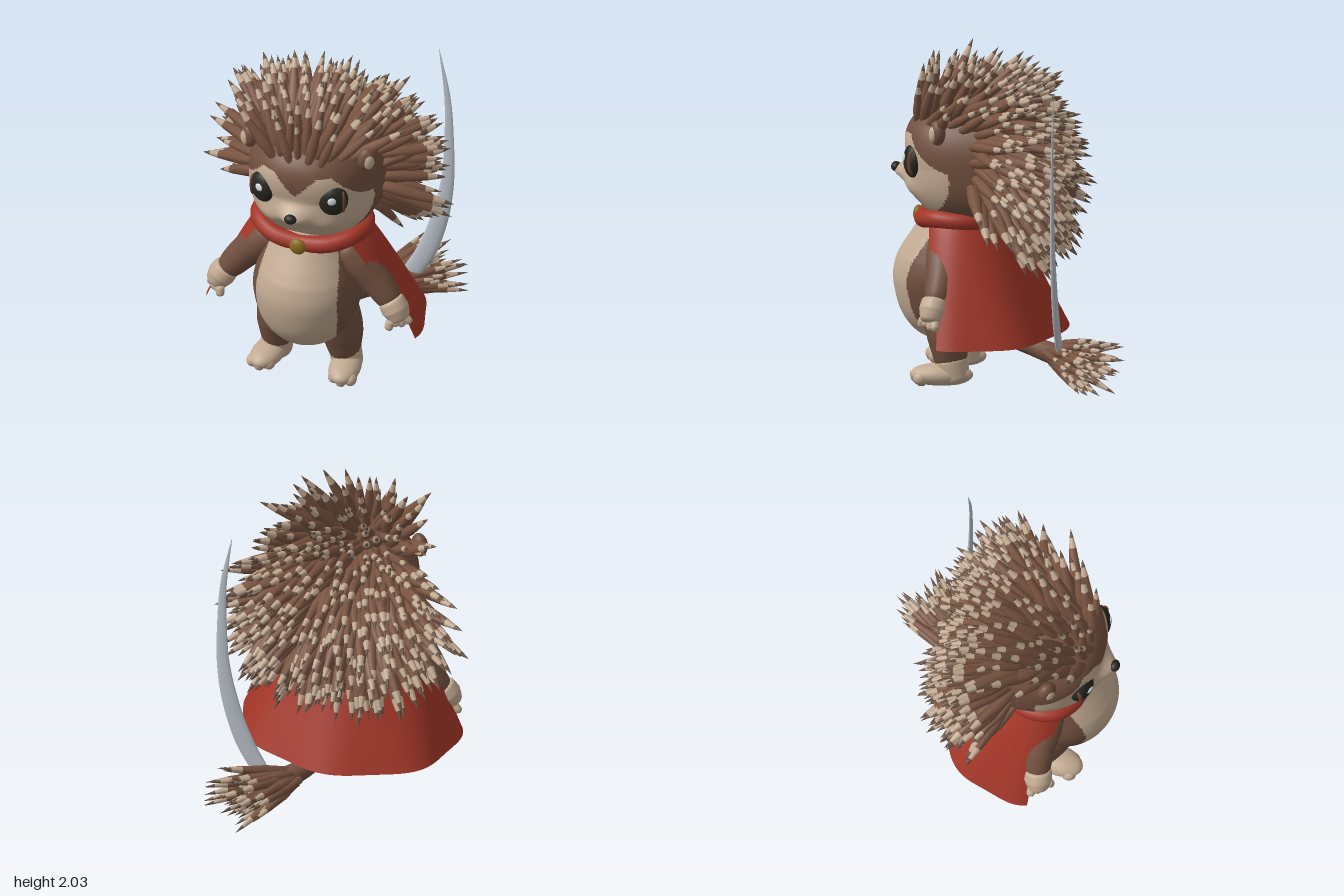
import * as THREE from 'three';
import { mergeGeometries, mergeVertices } from 'three/addons/utils/BufferGeometryUtils.js';

const V = (x, y, z) => new THREE.Vector3(x, y, z);
const mat = (name, color, side = THREE.FrontSide) => {
  const m = new THREE.MeshStandardMaterial({ color, side });
  m.name = name;
  return m;
};

// seeded random numbers
let seed = 7;
const rand = () => (seed = (seed * 16807) % 2147483647) / 2147483647;

// weld seams and recompute smooth normals
function smooth(geo) {
  geo.deleteAttribute('uv');
  geo.deleteAttribute('normal');
  const g = mergeVertices(geo, 1e-5);
  g.computeVertexNormals();
  return g;
}

// move every vertex by a rule
function warp(geo, rule) {
  const p = geo.attributes.position, v = V();
  for (let i = 0; i < p.count; i++) {
    rule(v.fromBufferAttribute(p, i));
    p.setXYZ(i, v.x, v.y, v.z);
  }
  return smooth(geo);
}

// sort triangles into two colour groups by their centre
function twoTone(geo, test) {
  const p = geo.attributes.position, idx = geo.index.array, parts = [[], []], c = V(), q = V();
  for (let i = 0; i < idx.length; i += 3) {
    c.set(0, 0, 0);
    for (let k = 0; k < 3; k++) c.add(q.fromBufferAttribute(p, idx[i + k]));
    parts[test(c.divideScalar(3)) ? 1 : 0].push(idx[i], idx[i + 1], idx[i + 2]);
  }
  geo.setIndex(parts[0].concat(parts[1]));
  geo.addGroup(0, parts[0].length, 0);
  geo.addGroup(parts[0].length, parts[1].length, 1);
  return geo;
}

// tube with varying radius and rounded ends
function limb(pts, radii, seg = 28, sides = 18, round = 10) {
  const curve = new THREE.CatmullRomCurve3(pts);
  const geo = new THREE.TubeGeometry(curve, seg, 1, sides);
  const p = geo.attributes.position, v = V();
  for (let i = 0; i < p.count; i++) {
    const t = Math.floor(i / (sides + 1)) / seg, c = curve.getPointAt(t);
    const f = t * (radii.length - 1), k = Math.min(Math.floor(f), radii.length - 2);
    const r = THREE.MathUtils.lerp(radii[k], radii[k + 1], f - k);
    const cap = Math.sqrt(Math.max(0, 1 - Math.abs(2 * t - 1) ** round));
    v.fromBufferAttribute(p, i).sub(c).multiplyScalar(r * cap).add(c);
    p.setXYZ(i, v.x, v.y, v.z);
  }
  return smooth(geo);
}

// boxy egg shared by the head and the quill roots, leaning forward at the top
function headPoint(u) {
  const n = 2.4, k = (Math.abs(u.x) ** n + Math.abs(u.y) ** n + Math.abs(u.z) ** n) ** (-1 / n);
  const up = (u.y > 0 ? 0.38 : 0.4) * u.y * k;
  const lean = u.z > 0 ? 0.3 * Math.max(0, up) * u.z : -0.36 * up * u.z;
  return V(0.41 * u.x * k, 1.34 + up, 0.15 + (u.z > 0 ? 0.47 : 0.28) * u.z * k + lean);
}

export function createModel() {
  const root = new THREE.Group(), body = new THREE.Group();
  root.name = 'hedgehog';
  body.name = 'figure';
  body.position.x = 0.035;
  root.add(body);

  const brown = mat('brown fur', 0x71503f), quillBrown = mat('quill brown', 0x7a5441);
  const tipBrown = mat('quill tip', 0x6b5444), cream = mat('cream fur', 0xc2aa92);
  const red = mat('red cloth', 0xa33628, THREE.DoubleSide), black = mat('dark eye', 0x25261f);
  const white = mat('eye highlight', 0xdfe3e6), gold = mat('gold clasp', 0x8a6a20);
  const steel = mat('steel', 0xb9c0c8), amber = mat('iris brown', 0x6a4030);

  const add = (name, geo, material, parent = body) => {
    const m = new THREE.Mesh(geo, material);
    m.name = name;
    parent.add(m);
    return m;
  };
  const ball = (name, material, pos, scale, parent = body) => {
    const m = add(name, new THREE.SphereGeometry(1, 24, 16), material, parent);
    m.position.set(...pos);
    m.scale.set(...scale);
    return m;
  };

  // head with muzzle, cheeks and cream mask
  const head = warp(new THREE.SphereGeometry(1, 160, 110), v => {
    v.copy(headPoint(v.clone().normalize()));
    if (v.z < 0.3) return;
    const ax = Math.abs(v.x);
    v.z += 0.1 * Math.exp(-((v.x / 0.1) ** 2) - ((v.y - 1.25) / 0.06) ** 2);
    v.z += 0.03 * Math.exp(-(((ax - 0.17) / 0.1) ** 2) - ((v.y - 1.19) / 0.06) ** 2);
  });
  add('head', twoTone(head, c => {
    const ax = Math.abs(c.x);
    return c.z > 0.31 + 2.2 * (c.y - 1.28) ** 2 && c.y < Math.min(1.39 + ax * 1.05, 1.53, 1.53 - (ax - 0.22) * 1.1);
  }), [brown, cream]);
  ball('nose', black, [0, 1.27, 0.705], [0.038, 0.03, 0.03]);

  for (const s of [-1, 1]) {
    // eye with iris sliver and highlight
    const eye = new THREE.Group();
    eye.name = 'eye';
    eye.position.set(s * 0.222, 1.37, 0.56);
    eye.rotation.y = s * 0.4;
    body.add(eye);
    ball('eyeball', black, [0, 0, 0], [0.09, 0.104, 0.058], eye);
    ball('iris', amber, [s * 0.06, 0, 0.024], [0.014, 0.075, 0.028], eye);
    ball('highlight', white, [s * -0.012, 0.022, 0.054], [0.026, 0.026, 0.008], eye);

    // ear
    const ear = new THREE.Group();
    ear.name = 'ear';
    ear.position.set(s * 0.375, 1.59, 0.385);
    ear.rotation.y = s * 0.7;
    body.add(ear);
    ball('earShell', brown, [0, 0, 0], [0.06, 0.077, 0.045], ear);
    ball('earInner', cream, [0, -0.005, 0.03], [0.034, 0.05, 0.022], ear);

    // arm, hand and fingers
    add('arm', limb([V(s * 0.2, 0.93, 0.36), V(s * 0.31, 0.82, 0.36), V(s * 0.42, 0.7, 0.35), V(s * 0.54, 0.55, 0.37)],
      [0.1, 0.105, 0.095, 0.075]), brown);
    add('hand', limb([V(s * 0.51, 0.6, 0.37), V(s * 0.555, 0.53, 0.38), V(s * 0.59, 0.465, 0.39)], [0.08, 0.085, 0.06]), cream);
    for (let i = 0; i < 4; i++) {
      add('finger', limb([V(s * (0.58 - i * 0.012), 0.49, 0.36 + i * 0.025),
        V(s * (0.645 - i * 0.038), 0.435 - (i % 2) * 0.012, 0.35 + i * 0.036)], [0.032, 0.024], 10, 10, 4), cream);
    }

    // leg, ankle, foot, toes and pads
    add('leg', limb([V(s * 0.16, 0.48, 0.38), V(s * 0.2, 0.3, 0.35), V(s * 0.215, 0.08, 0.33)], [0.15, 0.13, 0.085]), brown);
    add('ankle', limb([V(s * 0.213, 0.16, 0.335), V(s * 0.22, 0.09, 0.32), V(s * 0.226, 0.012, 0.295)],
      [0.1, 0.097, 0.09], 24, 24, 12), cream);
    const foot = add('foot', warp(new THREE.SphereGeometry(1, 28, 18), v => {
      v.set(v.x * (0.095 + 0.012 * v.z), Math.max(0.005, 0.06 + v.y * 0.07), v.z * 0.19);
    }), cream);
    foot.position.set(s * 0.24, 0, 0.385);
    foot.rotation.y = s * 0.12;
    for (let i = -1; i <= 1; i++) {
      ball('toe', cream, [s * 0.258 + i * 0.053, 0.045, 0.525 - Math.abs(i) * 0.025], [0.036, 0.04, 0.045]);
      ball('toePad', brown, [s * 0.258 + i * 0.05, 0.007, 0.52 - Math.abs(i) * 0.025], [0.02, 0.006, 0.022]);
    }
    ball('solePad', brown, [s * 0.24, 0.007, 0.4], [0.045, 0.007, 0.05]);
  }

  // torso with cream belly
  const profile = [[0, 0.22], [0.1, 0.235], [0.2, 0.29], [0.28, 0.4], [0.32, 0.54], [0.325, 0.66], [0.285, 0.8], [0.235, 0.93], [0.18, 1.1]];
  const spline = new THREE.SplineCurve(profile.map(p => new THREE.Vector2(...p))).getPoints(80);
  spline.forEach(p => { p.x = Math.max(0, p.x); });
  const torso = warp(new THREE.LatheGeometry(spline, 140), v => { v.z += 0.39 - Math.max(0, v.y - 0.75) * 0.25; });
  add('torso', twoTone(torso, c => c.z > 0.42 && (c.x / 0.258) ** 2 + ((c.y - 0.62) / 0.54) ** 2 < 1), [brown, cream]);

  // cape as an open flaring sheet with soft folds
  const cols = 64, rows = 20, pos = [], idx = [];
  for (let j = 0; j <= rows; j++) {
    for (let i = 0; i <= cols; i++) {
      const v = j / rows, a = (i / cols * 2 - 1) * THREE.MathUtils.degToRad(128 - 23 * Math.min(1, v * 1.4));
      const rx = 0.31 + 0.36 * v ** 0.8, rz = 0.25 + 0.28 * v, fold = 1 + 0.025 * v * Math.cos(a * 7);
      pos.push(rx * Math.sin(a) * fold, 1.06 - 0.74 * v, 0.3 - 0.1 * v - rz * Math.cos(a) * fold);
      if (i < cols && j < rows) {
        const k = j * (cols + 1) + i, n = k + cols + 1;
        idx.push(k, k + 1, n, k + 1, n + 1, n);
      }
    }
  }
  const cape = new THREE.BufferGeometry();
  cape.setAttribute('position', new THREE.Float32BufferAttribute(pos, 3));
  cape.setIndex(idx);
  cape.computeVertexNormals();
  add('cape', cape, red);

  // collar and clasp
  const ring = [[0, 0.985, 0.52], [0.18, 1.005, 0.505], [0.3, 1.035, 0.41], [0.32, 1.03, 0.25], [0.22, 1.02, 0.1], [0, 1.02, 0.05],
    [-0.22, 1.02, 0.1], [-0.32, 1.03, 0.25], [-0.3, 1.035, 0.41], [-0.18, 1.005, 0.505]].map(p => V(...p));
  add('collar', new THREE.TubeGeometry(new THREE.CatmullRomCurve3(ring, true), 80, 0.054, 14, true), red);
  ball('clasp', gold, [0, 0.985, 0.57], [0.052, 0.052, 0.03]);

  // one quill is a base, a cream band and a tip, unit long on y
  const bands = [[[0, 0], [0.07, 0.01], [0.095, 0.32], [0.058, 0.7]], [[0.058, 0.7], [0.032, 0.86]], [[0.032, 0.86], [0, 1]]]
    .map(b => new THREE.LatheGeometry(b.map(p => new THREE.Vector2(...p)), 7));
  const quillSet = (name, list) => {
    const up = V(0, 1, 0), one = new THREE.Matrix4();
    bands.forEach((band, b) => {
      const geos = list.map(({ at, dir, len, fat = 1 }) => band.clone().applyMatrix4(
        one.compose(at, new THREE.Quaternion().setFromUnitVectors(up, dir), V(len * fat, len, len * fat))));
      add(name + ['Bases', 'Bands', 'Tips'][b], mergeGeometries(geos), [quillBrown, cream, tipBrown][b]);
    });
  };

  // quills swept from the brow over the head and down the back
  const coat = [], count = 720;
  for (let i = 0; i < count; i++) {
    const y = 1 - 2 * (i + 0.5) / count, r = Math.sqrt(1 - y * y), a = i * 2.39996;
    const u = V(r * Math.cos(a), y, r * Math.sin(a)), at = headPoint(u), ax = Math.abs(u.x);
    const limit = at.y > 1.59 ? 1 : 0.19 - Math.max(0, 1.2 - at.y) * 1.1;
    const jitter = V(rand() - 0.5, rand() - 0.5, rand() - 0.5).multiplyScalar(0.55), size = rand();
    if (at.z > limit) continue;
    const low = Math.max(0, -u.y) * ax;
    const sweep = V(u.x * (0.3 + 0.35 * Math.max(0, u.z)), u.z * 0.8 - 0.08 - 0.6 * low,
      -Math.max(u.y, 0) * 0.8 - 0.32 - 0.4 * ax);
    const dir = u.clone().add(sweep).add(jitter).normalize();
    at.addScaledVector(u, -0.02);
    coat.push({ at, dir, len: 0.27 + 0.12 * size + 0.06 * ax + 0.12 * low });
  }
  quillSet('backQuill', coat);

  // tail and its brush of quills
  add('tail', limb([V(0.01, 0.33, 0.32), V(0.05, 0.28, 0.06), V(0.18, 0.225, -0.22), V(0.31, 0.215, -0.38)], [0.09, 0.06, 0.06, 0.07]), brown);
  const axis = V(0.68, 0, -0.73), side = V(0.73, 0, 0.68), brush = [];
  for (let i = 0; i < 52; i++) {
    const a = i * 2.39996, f = Math.sqrt((i + 0.5) / 52), back = rand() * 0.12;
    const out = side.clone().multiplyScalar(Math.cos(a) * 1.2).add(V(0, Math.sin(a), 0));
    const at = V(0.27, 0.215, -0.34).addScaledVector(axis, -back * f).addScaledVector(out, 0.05 * f);
    const dir = axis.clone().addScaledVector(out, 0.42 * f * (0.6 + 0.5 * rand())).normalize();
    brush.push({ at, dir, len: 0.32 + 0.17 * rand(), fat: 0.75 });
  }
  quillSet('tailQuill', brush);

  // curved blade held upright by the tail
  const blade = limb([[0.36, 0.23], [0.48, 0.45], [0.565, 0.7], [0.62, 1], [0.63, 1.3], [0.62, 1.6], [0.565, 1.96]]
    .map(([x, y]) => V(x, y, -0.36)), [0.056, 0.06, 0.052, 0.038, 0.028, 0.018, 0.001], 60, 12, 40);
  add('blade', warp(blade, v => { v.z = -0.36 + (v.z + 0.36) * 0.3; }), steel);

  return root;
}
